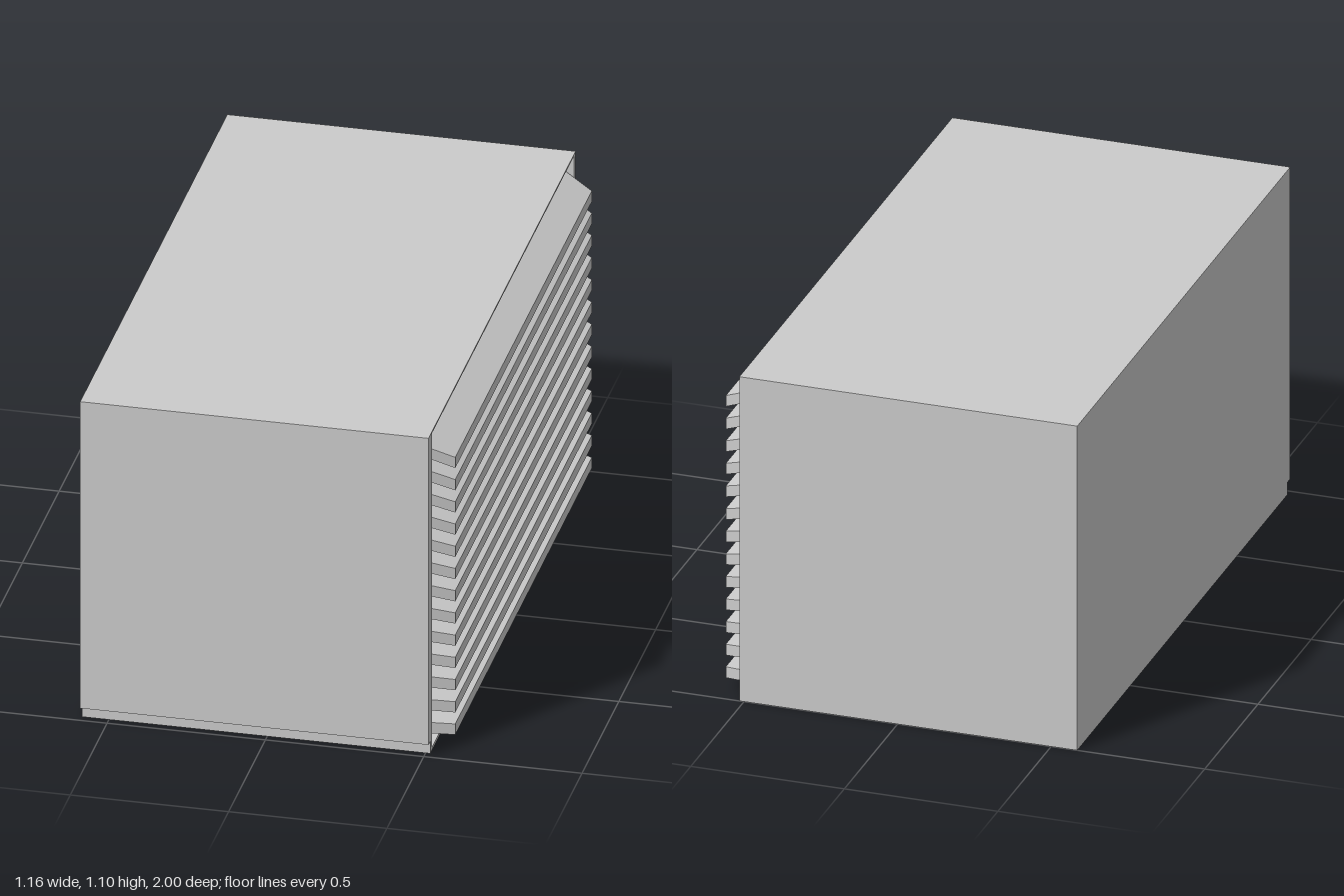
import * as THREE from 'three';

const grey = new THREE.MeshStandardMaterial({ color: 0xcccccc, flatShading: true });
const dark = new THREE.MeshStandardMaterial({ color: 0x333333, flatShading: true });

// Box given by its min and max corners
function box(name, [x0, y0, z0], [x1, y1, z1], material = grey) {
  const geometry = new THREE.BoxGeometry(x1 - x0, y1 - y0, z1 - z0);
  geometry.translate((x0 + x1) / 2, (y0 + y1) / 2, (z0 + z1) / 2);
  const mesh = new THREE.Mesh(geometry, material);
  mesh.name = name;
  return mesh;
}

const LEFT = -0.585, RECESS = 0.47, RIM = 0.515, OUT = 0.58;
const TOP = 1.1, BACK = -1, FRONT = 0.975;

// Slat sloping down and narrowing towards its outer edge
function louver(innerTop, outerTop) {
  const thickness = 0.037;
  const geometry = new THREE.BoxGeometry(1, 1, 1);
  const p = geometry.attributes.position;
  for (let i = 0; i < p.count; i++) {
    const outer = p.getX(i) > 0;
    const top = outer ? outerTop : innerTop;
    const halfLength = outer ? 0.928 : 0.965;
    p.setXYZ(
      i,
      outer ? OUT : RECESS,
      p.getY(i) > 0 ? top : top - thickness,
      -0.0125 + Math.sign(p.getZ(i)) * halfLength
    );
  }
  geometry.computeVertexNormals();
  const mesh = new THREE.Mesh(geometry, grey);
  mesh.name = 'louver';
  return mesh;
}

export function createModel() {
  const model = new THREE.Group();
  model.name = 'louveredCabinet';

  // Main housing and the overlapping front panel
  model.add(box('housing', [LEFT, 0, BACK], [RECESS - 0.01, TOP, FRONT]));
  model.add(box('frontPanel', [LEFT, 0.042, FRONT], [RIM, TOP, 1]));

  // Thin rim around the recessed opening
  const rim = new THREE.Group();
  rim.name = 'openingRim';
  const x0 = RECESS - 0.01;
  rim.add(
    box('rimTop', [x0, TOP - 0.006, BACK], [RIM, TOP, FRONT]),
    box('rimBottom', [x0, 0, BACK], [RIM, 0.01, FRONT]),
    box('rimBack', [x0, 0.01, BACK], [RIM, TOP - 0.006, BACK + 0.023]),
    box('rimFront', [x0, 0.01, FRONT - 0.022], [RIM, TOP - 0.006, FRONT])
  );
  model.add(rim);

  // Dark panel behind the louvers
  model.add(box('darkBacking', [x0, 0.01, BACK + 0.023], [RECESS, TOP - 0.006, FRONT - 0.022], dark));

  // Thirteen louvers, steeper towards the top
  const louvers = new THREE.Group();
  louvers.name = 'louvers';
  const count = 13;
  for (let i = 0; i < count; i++) {
    const t = i / (count - 1);
    const outerTop = THREE.MathUtils.lerp(0.08, 1.0, t);
    const rimTop = THREE.MathUtils.lerp(0.088, 1.031, t);
    const slope = (rimTop - outerTop) / (OUT - RIM);
    louvers.add(louver(outerTop + slope * (OUT - RECESS), outerTop));
  }
  model.add(louvers);

  return model;
}
